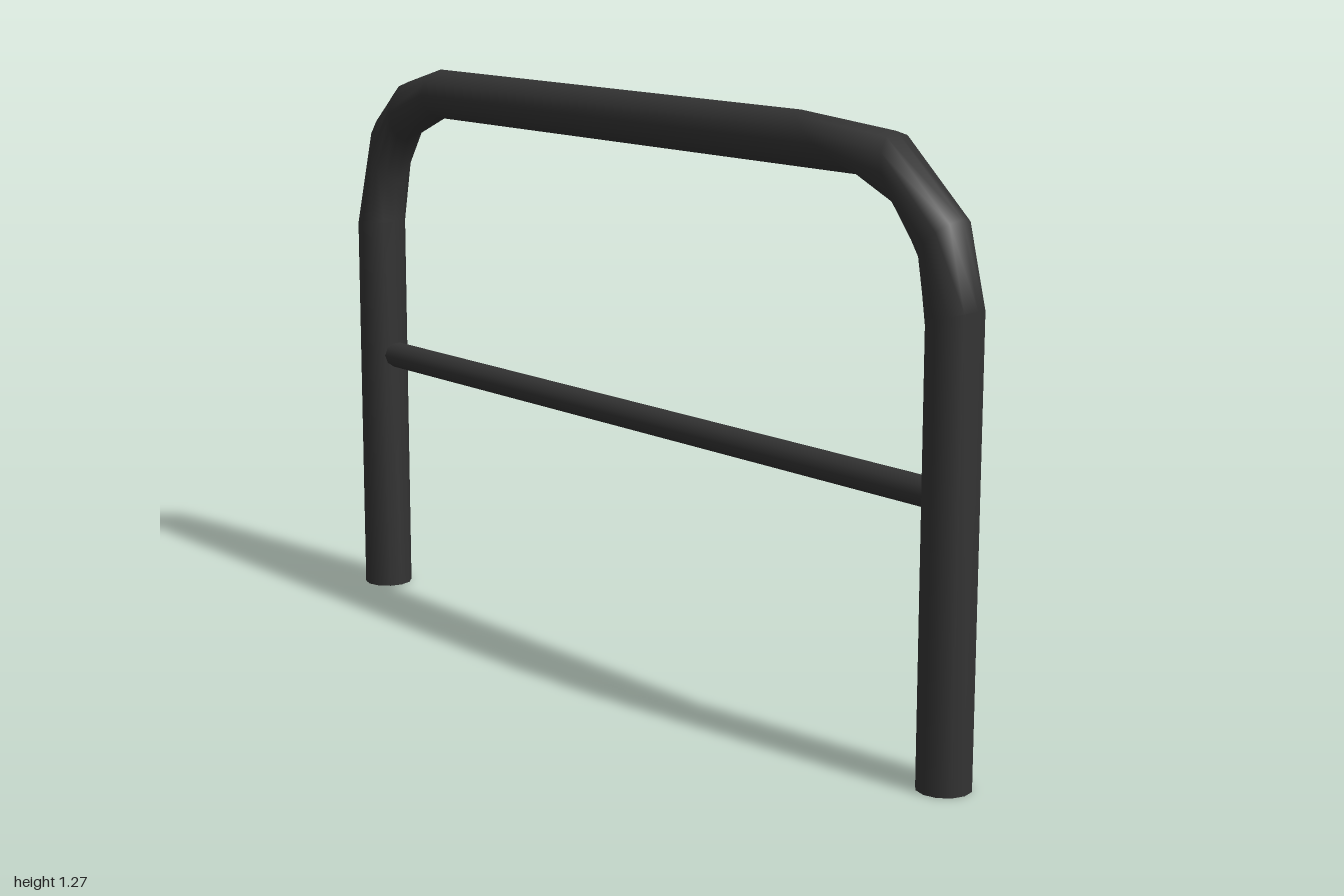
import * as THREE from 'three';

const R = 0.056, SIDES = 12;

// Sweep of round sections; each section is [outerX, outerY, innerX, innerY]
function bentTube(sections) {
  const pos = [], index = [];
  sections.forEach(([ox, oy, ix, iy], i) => {
    for (let j = 0; j < SIDES; j++) {
      const a = (j / SIDES) * Math.PI * 2, c = Math.cos(a) / 2;
      pos.push((ox + ix) / 2 + (ox - ix) * c, (oy + iy) / 2 + (oy - iy) * c, R * Math.sin(a));
      if (i < sections.length - 1) {
        const p = i * SIDES + j, q = i * SIDES + (j + 1) % SIDES;
        index.push(p, q, p + SIDES, q, q + SIDES, p + SIDES);
      }
    }
  });
  const geo = new THREE.BufferGeometry();
  geo.setAttribute('position', new THREE.Float32BufferAttribute(pos, 3));
  geo.setIndex(index);
  geo.computeVertexNormals();
  return geo;
}

export function createModel() {
  const group = new THREE.Group();
  const material = new THREE.MeshStandardMaterial({ color: 0x333333 });
  const add = (name, geo, x = 0, y = 0) => {
    const mesh = new THREE.Mesh(geo, material);
    mesh.name = name;
    mesh.position.set(x, y, 0);
    group.add(mesh);
    return mesh;
  };

  // Hoop: right leg, faceted bend, top rail, slightly uneven bend, left leg
  add('hoop', bentTube([
    [-1, 0, -0.888, 0],
    [-1, 0.89, -0.888, 0.9],
    [-0.92, 1.15, -0.878, 1.0],
    [-0.82, 1.238, -0.83, 1.1],
    [-0.69, 1.275, -0.69, 1.163],
    [0.52, 1.275, 0.71, 1.163],
    [0.78, 1.255, 0.815, 1.11],
    [0.955, 1.105, 0.868, 1.02],
    [1, 0.94, 0.885, 0.9],
    [1, 0, 0.888, 0],
  ]));

  // Closed leg ends
  for (const [name, s] of [['leftFoot', 1], ['rightFoot', -1]]) {
    add(name, new THREE.CircleGeometry(R, SIDES).rotateX(Math.PI / 2), s * 0.944);
  }

  // Thin cross bar between the legs
  add('crossBar', new THREE.CylinderGeometry(0.03, 0.03, 1.82, 10).rotateZ(Math.PI / 2), 0, 0.576);
  return group;
}
